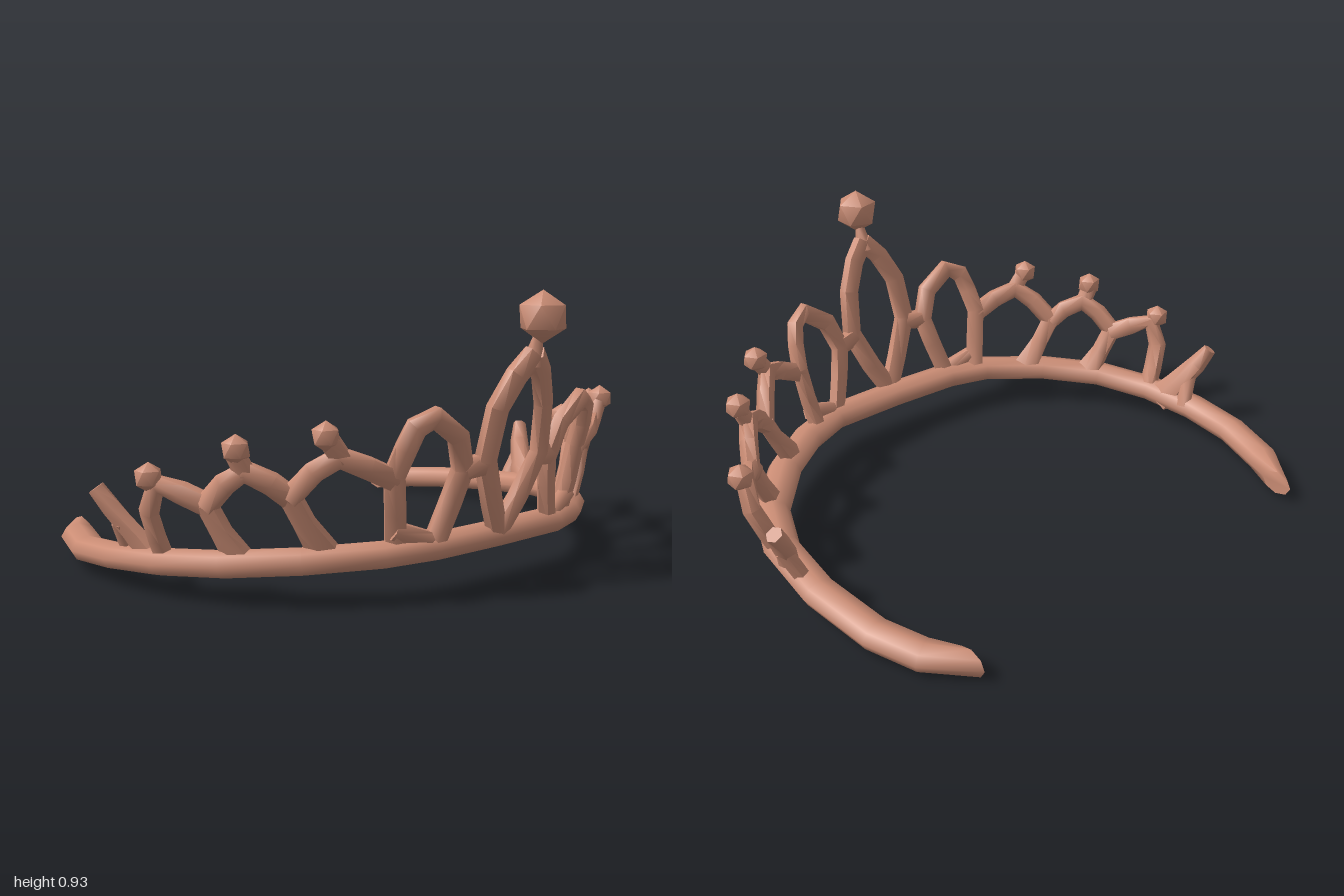
import * as THREE from 'three';
import { toCreasedNormals } from 'three/addons/utils/BufferGeometryUtils.js';

const roseGold = new THREE.MeshStandardMaterial({ color: 0xcb8d75 });
roseGold.name = 'rose gold';

const V = (p) => new THREE.Vector3(...p);

// Capped rod through points; radii are [outward, sideways] per point or one pair for all
function rod(name, pts, radii, sides = 6, endDir = null) {
  const P = pts.map(V), n = P.length, pos = [], idx = [];
  P.forEach((p, i) => {
    const t = P[Math.min(i + 1, n - 1)].clone().sub(P[Math.max(i - 1, 0)]).normalize();
    if (endDir && (i === 0 || i === n - 1)) t.copy(endDir);
    const out = new THREE.Vector3(p.x, 0, p.z).normalize();
    out.addScaledVector(t, -out.dot(t)).normalize();
    const b = t.clone().cross(out);
    const [ro, rs] = Array.isArray(radii[0]) ? radii[i] : radii;
    for (let j = 0; j < sides; j++) {
      const a = (j / sides) * Math.PI * 2;
      const q = p.clone().addScaledVector(out, Math.cos(a) * ro).addScaledVector(b, Math.sin(a) * rs);
      pos.push(q.x, q.y, q.z);
    }
  });
  for (let i = 0; i < n - 1; i++) {
    for (let j = 0; j < sides; j++) {
      const a = i * sides + j, b = i * sides + (j + 1) % sides;
      idx.push(a, b, a + sides, b, b + sides, a + sides);
    }
  }
  // end caps
  const last = (n - 1) * sides;
  for (let j = 1; j < sides - 1; j++) {
    idx.push(0, j + 1, j, last, last + j, last + j + 1);
  }
  const g = new THREE.BufferGeometry();
  g.setAttribute('position', new THREE.Float32BufferAttribute(pos, 3));
  g.setIndex(idx);
  const mesh = new THREE.Mesh(toCreasedNormals(g, 1.12), roseGold);
  mesh.name = name;
  return mesh;
}

// Small faceted ball with a corner pointing up
function bead(name, p, r) {
  const g = new THREE.IcosahedronGeometry(r, 0).rotateZ(-0.5536);
  const mesh = new THREE.Mesh(toCreasedNormals(g, 0.8), roseGold);
  mesh.position.copy(V(p));
  mesh.name = name;
  return mesh;
}

export function createModel() {
  const model = new THREE.Group();
  model.name = 'tiara';

  // Open headband, with ends cut square to the side
  const band = [
    [-0.75, -0.73], [-0.83, -0.6], [-0.9, -0.4], [-0.905, -0.2], [-0.87, 0], [-0.78, 0.2], [-0.62, 0.37],
    [-0.42, 0.5], [-0.26, 0.54], [0, 0.55], [0.28, 0.545], [0.44, 0.48], [0.61, 0.36], [0.77, 0.18],
    [0.845, 0], [0.865, -0.25], [0.835, -0.5], [0.775, -0.65], [0.68, -0.755],
  ].map(([x, z]) => [x, 0.112 + 0.083 * z + (x < 0 && z < -0.5 ? 0.012 : 0), z]);
  model.add(rod('headband', band, [0.06, 0.043], 8, new THREE.Vector3(-1, 0, 0)));

  // Lattice, given for the left half and mirrored: [name, points, radii]
  const thick = [0.031, 0.037], thin = [0.028, 0.033];
  const foot = [[0.03, 0.036], [0.032, 0.036], [0.036, 0.055]];
  const struts = [
    ['centreArch', [[0, 0.17, 0.575], [0.06, 0.28, 0.605], [0.122, 0.42, 0.635], [0.105, 0.58, 0.665],
      [0.055, 0.68, 0.695], [0, 0.74, 0.715]], [0.031, 0.038]],
    ['archLink', [[0.12, 0.41, 0.63], [0.2, 0.4, 0.61]], thick],
    ['tallArch', [[0.26, 0.17, 0.555], [0.22, 0.3, 0.585], [0.195, 0.4, 0.61], [0.235, 0.505, 0.63], [0.33, 0.572, 0.63],
      [0.382, 0.545, 0.605], [0.4, 0.48, 0.58], [0.412, 0.4, 0.545], [0.395, 0.28, 0.53], [0.375, 0.17, 0.51]], thick],
    ['archFoot', [[0.27, 0.18, 0.555], [0.4, 0.23, 0.525]], thin],
    ['thirdCrest', [[0.41, 0.385, 0.545], [0.5, 0.43, 0.53], [0.575, 0.465, 0.49], [0.62, 0.42, 0.43], [0.665, 0.34, 0.37]], thick],
    ['thirdFoot', [[0.665, 0.35, 0.37], [0.62, 0.26, 0.385], [0.55, 0.15, 0.4]], foot],
    ['thirdStem', [[0.565, 0.455, 0.495], [0.61, 0.52, 0.485]], thin],
    ['fourthCrest', [[0.66, 0.34, 0.37], [0.71, 0.385, 0.345], [0.765, 0.42, 0.295], [0.8, 0.38, 0.24], [0.83, 0.31, 0.185]], thick],
    ['fourthFoot', [[0.83, 0.32, 0.185], [0.79, 0.23, 0.205], [0.735, 0.13, 0.23]], foot],
    ['fourthStem', [[0.765, 0.41, 0.295], [0.795, 0.475, 0.29]], thin],
    ['fifthCrest', [[0.82, 0.31, 0.185], [0.87, 0.345, 0.12], [0.918, 0.37, 0.06], [0.925, 0.28, 0.025], [0.89, 0.19, 0.01],
      [0.85, 0.1, 0]], thick],
  ];
  for (const s of [1, -1]) {
    const side = s > 0 ? 'left' : 'right';
    const flip = (p) => [p[0] * s, p[1], p[2]];
    for (const [name, pts, r] of struts) model.add(rod(`${name} ${side}`, pts.map(flip), r));

    // Leaf-shaped end spur with a low brace
    model.add(rod(`endSpur ${side}`, [[0.86, 0.09, -0.06], [0.89, 0.17, -0.115], [0.94, 0.26, -0.17], [0.975, 0.325, -0.2]].map(flip),
      [[0.035, 0.06], [0.033, 0.048], [0.032, 0.038], [0.028, 0.024]]));
    model.add(rod(`spurBrace ${side}`, [[0.87, 0.1, -0.175], [0.925, 0.22, -0.15]].map(flip), thin));

    // Knobs on the three outer crests
    [[0.618, 0.53, 0.483], [0.797, 0.488, 0.295], [0.938, 0.39, 0.05]].forEach((p, i) => {
      model.add(bead(`knob ${i + 1} ${side}`, flip(p), 0.046));
    });
  }

  // Finial ball on its short neck
  model.add(rod('finialNeck', [[0, 0.71, 0.705], [0, 0.8, 0.73]], [[0.034, 0.034], [0.015, 0.015]]));
  model.add(bead('finialBall', [0, 0.854, 0.745], 0.08));
  return model;
}
